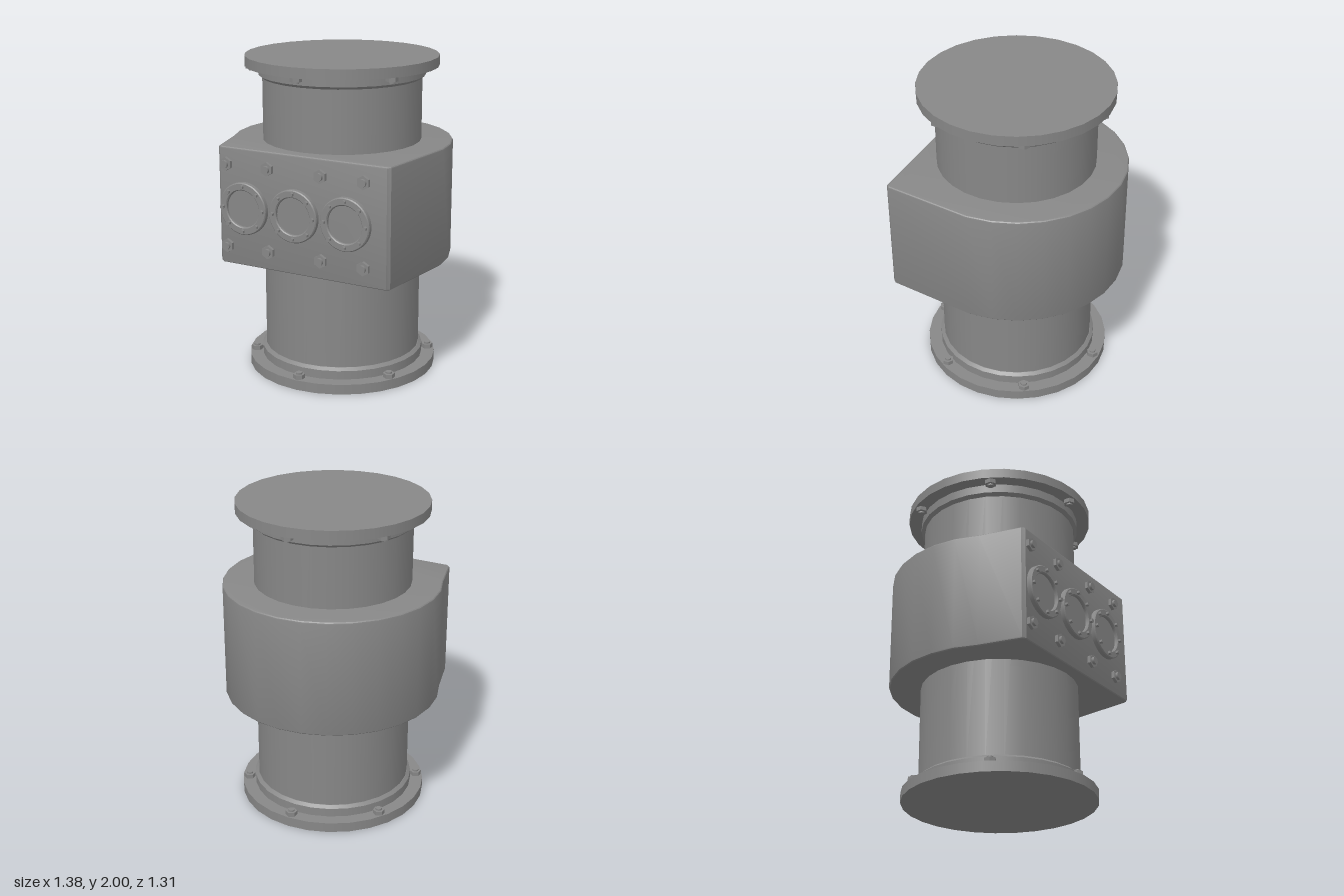
import * as THREE from 'three';
import { toCreasedNormals } from 'three/addons/utils/BufferGeometryUtils.js';

const SIDES = 28;
const AXIS_Z = 0.035; // the column sits slightly forward of the centre
const FACE_Z = 0.605; // front plane of the housing

export function createModel() {
  const model = new THREE.Group();
  const mat = new THREE.MeshStandardMaterial({ color: 0x878787 });

  const add = (parent, name, geo, x = 0, y = 0, z = 0) => {
    const mesh = new THREE.Mesh(geo, mat);
    mesh.name = name;
    mesh.position.set(x, y, z);
    parent.add(mesh);
    return mesh;
  };
  // Cylinder standing on y = 0
  const cyl = (rTop, rBottom, h, sides = SIDES) =>
    new THREE.CylinderGeometry(rTop, rBottom, h, sides).translate(0, h / 2, 0);
  const hex = (r, h) => toCreasedNormals(cyl(r, r, h, 6), 0.3);

  // Central column
  add(model, 'column', cyl(0.494, 0.494, 1.9), 0, 0.05, AXIS_Z);

  // Flanged ends: plate, chamfered collar and six bolts, mirrored top and bottom
  const nutGeo = hex(0.037, 0.027);
  const studGeo = cyl(0.02, 0.02, 0.038, 12);
  for (const end of ['bottom', 'top']) {
    const flange = new THREE.Group();
    flange.name = end + 'Flange';
    add(flange, 'flangePlate', cyl(0.599, 0.599, 0.063));
    add(flange, 'collar', cyl(0.517, 0.517, 0.055), 0, 0.063);
    add(flange, 'collarChamfer', cyl(0.497, 0.517, 0.017), 0, 0.118);
    for (let i = 0; i < 6; i++) {
      const a = (i * Math.PI) / 3;
      const x = 0.555 * Math.sin(a), z = 0.555 * Math.cos(a);
      add(flange, 'flangeNut', nutGeo, x, 0.063, z);
      add(flange, 'flangeStud', studGeo, x, 0.063, z);
    }
    flange.position.z = AXIS_Z;
    if (end === 'top') {
      flange.rotation.z = Math.PI;
      flange.position.y = 2;
    }
    model.add(flange);
  }

  // Housing: round back running into a flat front, with softened corners and edges
  const outline = [
    new THREE.Vector2(-0.55, -0.587),
    new THREE.Vector2(-0.53, -FACE_Z),
    new THREE.Vector2(0.602, -FACE_Z),
    new THREE.Vector2(0.62, -0.587),
  ];
  for (let i = 0; i <= 16; i++) {
    const a = (i * 2 * Math.PI) / SIDES;
    outline.push(new THREE.Vector2(0.688 * Math.cos(a), 0.688 * Math.sin(a) - 0.03));
  }
  const bevel = 0.014;
  const housing = new THREE.ExtrudeGeometry(new THREE.Shape(outline), {
    depth: 0.741 - 2 * bevel,
    bevelSize: bevel,
    bevelThickness: bevel,
    bevelOffset: -bevel,
    bevelSegments: 3,
  });
  housing.rotateX(-Math.PI / 2);
  add(model, 'housing', toCreasedNormals(housing, 0.45), 0, 0.737 + bevel, 0);

  // Round ports: bolted ring around a recessed window
  const ring = new THREE.Shape().absarc(0, 0, 0.163, 0, Math.PI * 2);
  ring.holes.push(new THREE.Path().absarc(0, 0, 0.115, 0, Math.PI * 2, true));
  const ringGeo = toCreasedNormals(new THREE.ExtrudeGeometry(ring, {
    depth: 0.026,
    curveSegments: 32,
    bevelSize: 0.006,
    bevelThickness: 0.006,
    bevelOffset: -0.006,
    bevelSegments: 1,
  }), 0.5);
  const windowGeo = cyl(0.12, 0.12, 0.012, 32).rotateX(Math.PI / 2);
  const boltGeo = hex(0.014, 0.02).rotateX(Math.PI / 2);
  for (const x of [-0.358, -0.008, 0.342]) {
    const port = new THREE.Group();
    port.name = 'port';
    port.position.set(x, 1.108, FACE_Z);
    add(port, 'portRing', ringGeo);
    add(port, 'portWindow', windowGeo);
    for (let i = 0; i < 8; i++) {
      const a = (i * Math.PI) / 4;
      add(port, 'portBolt', boltGeo, 0.139 * Math.cos(a), 0.139 * Math.sin(a), 0.03);
    }
    model.add(port);
  }

  // Two rows of large nuts on the front face
  const faceNutGeo = hex(0.043, 0.02).rotateX(Math.PI / 2);
  const faceStudGeo = cyl(0.024, 0.024, 0.036, 16).rotateX(Math.PI / 2);
  for (const y of [0.855, 1.372]) {
    for (const x of [-0.485, -0.193, 0.171, 0.457]) {
      add(model, 'faceNut', faceNutGeo, x, y, FACE_Z);
      add(model, 'faceStud', faceStudGeo, x, y, FACE_Z);
    }
  }

  return model;
}
